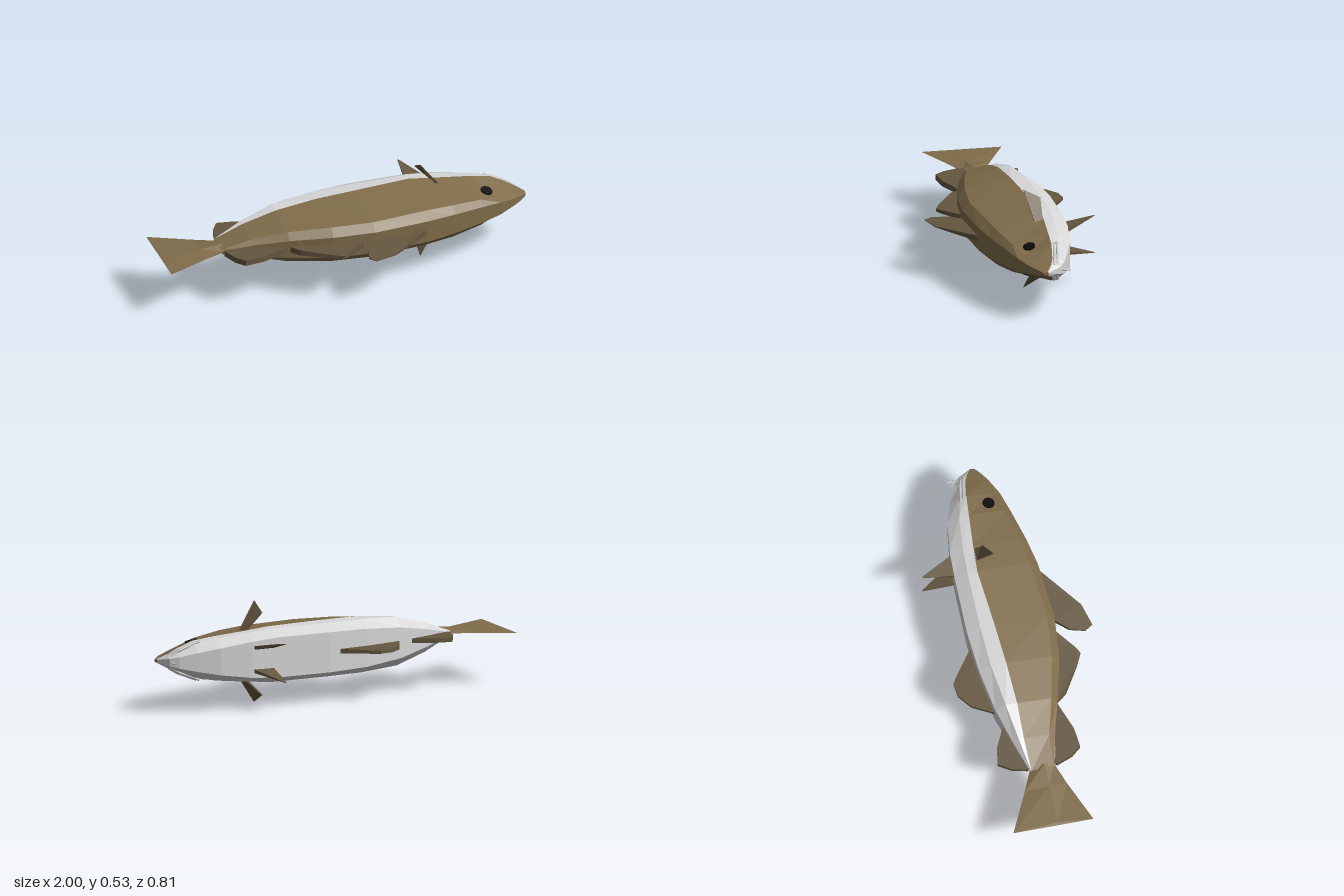
import * as THREE from 'three';

const mat = (name, color, side = THREE.FrontSide) => {
  const m = new THREE.MeshStandardMaterial({ color, side });
  m.name = name;
  return m;
};

// Flat-faced skin through rings of [x, y, z]; closed rings also get end caps
function loft(rings, closed = true) {
  const pos = [];
  const n = rings[0].length;
  const tri = (...pts) => pts.forEach(p => pos.push(...p));
  for (let i = 0; i < rings.length - 1; i++) {
    const A = rings[i], B = rings[i + 1];
    for (let j = 0; j < (closed ? n : n - 1); j++) {
      const k = (j + 1) % n;
      tri(A[j], B[j], A[k]);
      tri(B[j], B[k], A[k]);
    }
  }
  if (closed) {
    const A = rings[0], B = rings[rings.length - 1];
    for (let j = 1; j < n - 1; j++) {
      tri(A[0], A[j], A[j + 1]);
      tri(B[0], B[j + 1], B[j]);
    }
  }
  const g = new THREE.BufferGeometry();
  g.setAttribute('position', new THREE.Float32BufferAttribute(pos, 3));
  g.computeVertexNormals();
  return g;
}

// Upright fin from an (x, z) outline, with half thickness given by a rule on z
function finGeometry(outline, half) {
  const shape = new THREE.Shape(outline.map(p => new THREE.Vector2(...p)));
  const g = new THREE.ExtrudeGeometry(shape, { depth: 2, bevelEnabled: false });
  g.translate(0, 0, -1).rotateX(Math.PI / 2);
  const p = g.attributes.position;
  for (let i = 0; i < p.count; i++) p.setY(i, p.getY(i) * half(p.getZ(i)));
  g.computeVertexNormals();
  return g;
}

export function createModel() {
  const brown = mat('back brown', 0x7f6c4a);
  const grey = mat('belly grey', 0xd6d6d6);
  const finBrown = mat('fin brown', 0x655740, THREE.DoubleSide);
  const black = mat('eye black', 0x0a0a0a);

  const model = new THREE.Group();
  const fish = new THREE.Group();
  fish.name = 'fish';
  fish.position.y = 0.267;
  model.add(fish);
  const add = (name, geo, m) => {
    const mesh = new THREE.Mesh(geo, m);
    mesh.name = name;
    fish.add(mesh);
    return mesh;
  };
  // One part on each flank
  const addPair = (name, geo, m) => {
    add(name + 'Upper', geo, m);
    add(name + 'Lower', geo, m).scale.y = -1;
  };

  // Body stations: x, then (z, half width) for ridge, shoulder, flank, lower belly, keel
  const stations = [
    [-0.68, 0.055, 0.008, 0.045, 0.012, -0.07, 0.015, -0.075, 0.012, -0.08, 0.006],
    [-0.52, 0.085, 0.03, 0.055, 0.05, -0.078, 0.072, -0.105, 0.078, -0.135, 0.045],
    [-0.34, 0.138, 0.05, 0.105, 0.085, -0.075, 0.12, -0.135, 0.128, -0.19, 0.08],
    [-0.12, 0.195, 0.058, 0.155, 0.098, -0.085, 0.141, -0.165, 0.139, -0.228, 0.1],
    [0.1, 0.217, 0.06, 0.178, 0.1, -0.1, 0.143, -0.175, 0.14, -0.245, 0.105],
    [0.4, 0.195, 0.06, 0.15, 0.1, -0.125, 0.143, -0.175, 0.14, -0.243, 0.105],
    [0.55, 0.165, 0.055, 0.13, 0.092, -0.115, 0.128, -0.17, 0.126, -0.238, 0.095],
    [0.72, 0.12, 0.045, 0.09, 0.074, -0.1, 0.113, -0.15, 0.108, -0.213, 0.07],
    [0.83, 0.088, 0.035, 0.05, 0.048, -0.09, 0.098, -0.125, 0.088, -0.175, 0.05],
    [0.92, 0.045, 0.02, 0.015, 0.03, -0.075, 0.053, -0.105, 0.048, -0.138, 0.03],
    [0.96, 0.02, 0.015, 0, 0.02, -0.06, 0.033, -0.085, 0.03, -0.11, 0.02],
    [1, -0.012, 0.006, -0.02, 0.01, -0.034, 0.01, -0.036, 0.008, -0.038, 0.004],
  ];
  // Point k of a station, on side s
  const at = (st, k, s) => [st[0], s * st[2 + 2 * k], st[1 + 2 * k]];
  add('back', loft(stations.map(st => [
    at(st, 2, -1), at(st, 1, -1), at(st, 0, -1), at(st, 0, 1), at(st, 1, 1), at(st, 2, 1),
  ]), false), brown);
  add('belly', loft(stations.map(st => [
    at(st, 2, 1), at(st, 3, 1), at(st, 4, 1), at(st, 4, -1), at(st, 3, -1), at(st, 2, -1),
  ]), false), grey);
  const tip = stations[stations.length - 1];
  add('snoutTip', loft([0.995, 1].map(x => {
    const st = [x, ...tip.slice(1)];
    return [at(st, 0, 1), at(st, 2, 1), at(st, 4, 1), at(st, 4, -1), at(st, 2, -1), at(st, 0, -1)];
  })), brown);

  // Tail fin with a central crease, x given for its lower, middle and upper points
  const tail = [
    [-1, -0.98, -0.99, 0.185, -0.235, 0.003],
    [-0.78, -0.78, -0.78, 0.092, -0.13, 0.009],
    [-0.66, -0.66, -0.66, 0.05, -0.075, 0.024],
  ].map(([xa, xm, xb, za, zb, h]) => [[xa, 0, za], [xm, h, 0], [xb, 0, zb], [xm, -h, 0]]);
  add('tailFin', loft(tail), brown);

  // Fins along the back, thinning towards their tips
  const backHalf = z => THREE.MathUtils.clamp(0.08 * (0.405 - z), 0.001, 0.015);
  [
    [[0.1, 0.15], [0.1, 0.215], [0.04, 0.28], [0.015, 0.36], [0.04, 0.403], [0.16, 0.37], [0.38, 0.2], [0.36, 0.15]],
    [[-0.31, 0.1], [-0.335, 0.14], [-0.3, 0.19], [-0.16, 0.28], [-0.1, 0.31], [-0.07, 0.295], [0.04, 0.21], [0, 0.15]],
    [[-0.64, 0.03], [-0.67, 0.065], [-0.64, 0.15], [-0.6, 0.2], [-0.5, 0.19], [-0.32, 0.125], [-0.36, 0.08]],
  ].forEach((o, i) => add('backFin' + (i + 1), finGeometry(o, backHalf), finBrown));

  // Fins along the belly
  const bellyHalf = z => 0.012 + 0.03 * Math.min(0, z + 0.23);
  [
    [[-0.31, -0.13], [-0.335, -0.18], [-0.27, -0.3], [-0.2, -0.355], [-0.13, -0.365], [-0.09, -0.34], [0.04, -0.24], [0, -0.18]],
    [[-0.65, -0.06], [-0.67, -0.09], [-0.65, -0.17], [-0.61, -0.235], [-0.52, -0.22], [-0.41, -0.165], [-0.42, -0.12]],
  ].forEach((o, i) => add('bellyFin' + (i + 1), finGeometry(o, bellyHalf), finBrown));

  // Side fins sweep outwards and back
  addPair('sideFin', loft([
    [[0.55, 0.11, -0.11], [0.55, 0.11, -0.07], [0.53, 0.11, -0.07], [0.53, 0.11, -0.11]],
    [[0.434, 0.218, -0.12], [0.434, 0.266, -0.032], [0.43, 0.264, -0.032], [0.43, 0.215, -0.12]],
  ]), finBrown);
  // Throat fins
  addPair('throatFin', loft([
    [[0.545, 0.048, -0.225], [0.545, 0.068, -0.225], [0.425, 0.068, -0.225], [0.425, 0.048, -0.225]],
    [[0.445, 0.1, -0.404], [0.445, 0.102, -0.404], [0.438, 0.102, -0.404], [0.438, 0.1, -0.404]],
  ]), finBrown);

  // Eyes: thin discs lying on the cheeks
  const eye = new THREE.CylinderGeometry(0.031, 0.031, 0.009, 12);
  const normal = new THREE.Vector3(0.22, 1, 0.28).normalize();
  eye.applyQuaternion(new THREE.Quaternion().setFromUnitVectors(new THREE.Vector3(0, 1, 0), normal));
  eye.translate(0.776, 0.077, 0.016);
  addPair('eye', eye, black);

  // Lips: two bands wrapped round the jaw
  const lip = [[0.81, 0.1, -0.108], [0.91, 0.06, -0.09], [0.957, 0.03, -0.076]];
  [0, -0.018].forEach((dz, i) => {
    const pts = [...lip, ...lip.map(([x, y, z]) => [x, -y, z]).reverse()]
      .map(([x, y, z]) => new THREE.Vector3(x + dz * 0.5, y, z + dz));
    const path = new THREE.CurvePath();
    for (let k = 1; k < pts.length; k++) path.add(new THREE.LineCurve3(pts[k - 1], pts[k]));
    add(i ? 'lowerLip' : 'upperLip', new THREE.TubeGeometry(path, 30, 0.008, 5), grey);
  });

  // Chin whisker
  const whisker = new THREE.CatmullRomCurve3([
    new THREE.Vector3(0.925, 0, -0.11), new THREE.Vector3(0.95, 0, -0.118),
    new THREE.Vector3(0.96, 0, -0.14), new THREE.Vector3(0.955, 0, -0.163),
  ]);
  add('chinWhisker', new THREE.TubeGeometry(whisker, 10, 0.005, 5), grey);

  return model;
}
